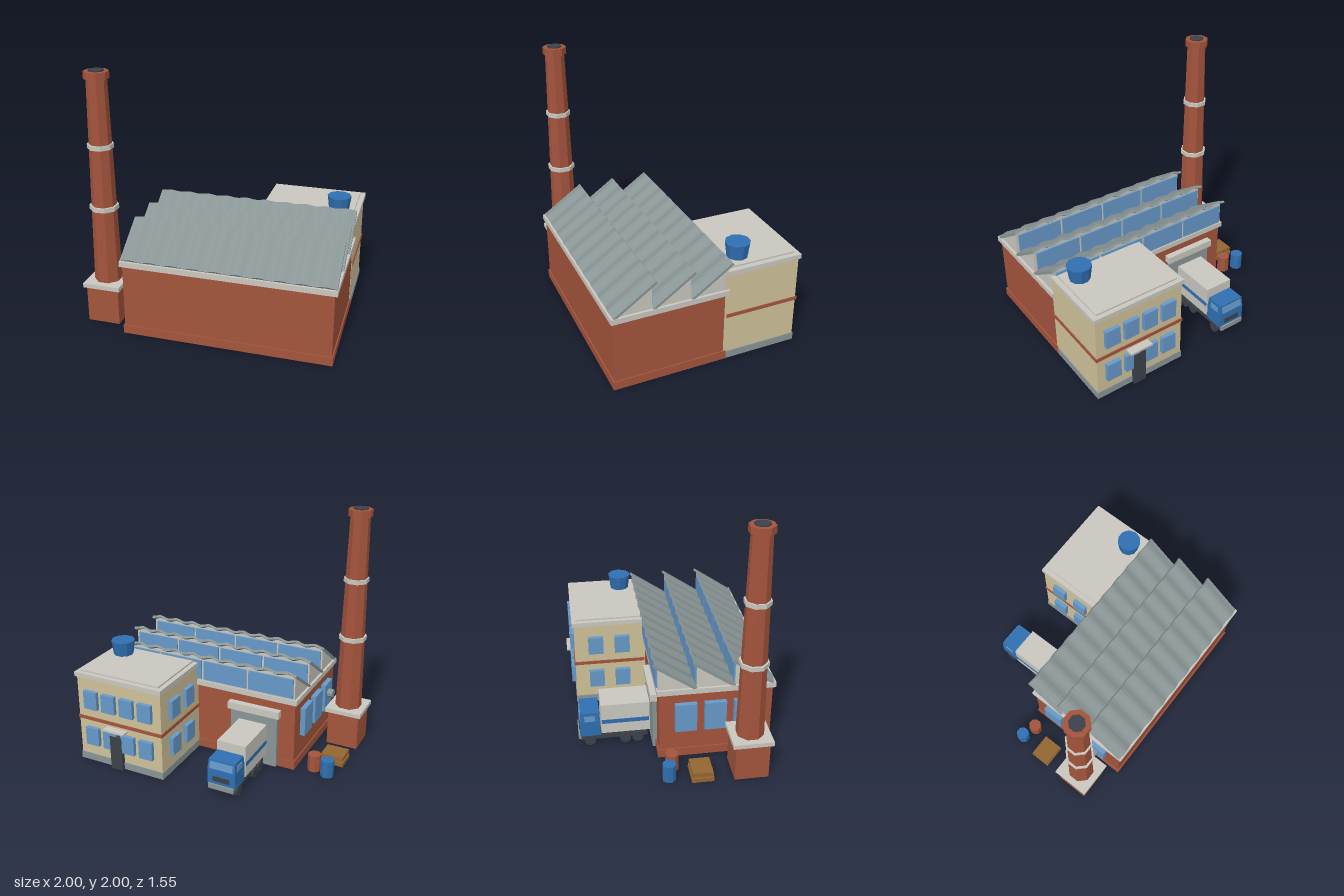
import * as THREE from 'three';

const mat = (name, color) => {
  const m = new THREE.MeshStandardMaterial({ color });
  m.name = name;
  return m;
};

export function createModel() {
  const root = new THREE.Group();
  root.name = 'factory';
  const brick = mat('brick red', 0xa3543c);
  const stone = mat('pale stone', 0xc9c7bf);
  const cream = mat('cream render', 0xcfc199);
  const metal = mat('sheet metal grey', 0x8a9596);
  const blue = mat('paint blue', 0x2f6fb0);
  const glass = mat('window glass', 0x6699c8);
  const dark = mat('dark grey', 0x3c424a);
  const wood = mat('wood brown', 0x946632);

  const group = (name) => {
    const g = new THREE.Group();
    g.name = name;
    root.add(g);
    return g;
  };
  const add = (parent, name, geo, m, x = 0, y = 0, z = 0) => {
    const mesh = new THREE.Mesh(geo, m);
    mesh.name = name;
    mesh.position.set(x, y, z);
    parent.add(mesh);
    return mesh;
  };
  // Box given by its minimum and maximum on each axis
  const box = (parent, name, m, x0, x1, y0, y1, z0, z1) =>
    add(parent, name, new THREE.BoxGeometry(x1 - x0, y1 - y0, z1 - z0), m,
      (x0 + x1) / 2, (y0 + y1) / 2, (z0 + z1) / 2);
  // Upright faceted drum, flat side to the front
  const drum = (parent, name, m, x, z, y0, y1, rBottom, rTop, sides) => {
    const geo = new THREE.CylinderGeometry(rTop, rBottom, y1 - y0, sides, 1, false, Math.PI / sides);
    return add(parent, name, geo.toNonIndexed(), m, x, (y0 + y1) / 2, z);
  };
  const faceted = (mesh) => { mesh.geometry.computeVertexNormals(); return mesh; };

  // Main hall walls
  const hall = group('hall');
  box(hall, 'hallPlinth', brick, -0.637, 0.985, 0, 0.07, -0.13, 0.765);
  box(hall, 'hallWalls', brick, -0.627, 0.975, 0.07, 0.575, -0.12, 0.755);
  box(hall, 'hallEaves', stone, -0.645, 0.995, 0.572, 0.615, -0.14, 0.775);
  for (const z of [0.0825, 0.31, 0.5375])
    box(hall, 'hallSideWindow', glass, -0.668, -0.62, 0.25, 0.49, z - 0.084, z + 0.084);

  // Sawtooth roof: gable wedge, corrugated sheet and rear glazing
  const wedge = new THREE.Shape([[-0.76, 0.612], [-0.46, 0.612], [-0.46, 0.825]]
    .map(([x, y]) => new THREE.Vector2(x, y)));
  const wedgeGeo = new THREE.ExtrudeGeometry(wedge, { depth: 1.6, bevelEnabled: false });
  wedgeGeo.rotateY(Math.PI / 2);
  const top = [], under = [];
  const waves = 10, steps = waves * 6;
  for (let i = 0; i <= steps; i++) {
    const x = -0.642 + 1.632 * i / steps;
    const y = -0.009 * Math.cos(2 * Math.PI * waves * i / steps);
    top.push(new THREE.Vector2(x, y));
    under.unshift(new THREE.Vector2(x, y - 0.02));
  }
  const sheetGeo = new THREE.ExtrudeGeometry(new THREE.Shape([...top, ...under]),
    { depth: 0.388, bevelEnabled: false });
  const roof = group('sawtoothRoof');
  for (let i = 0; i < 3; i++) {
    const tooth = new THREE.Group();
    tooth.name = 'roofTooth';
    tooth.position.z = -0.296 * i;
    roof.add(tooth);
    add(tooth, 'toothGable', wedgeGeo, stone, -0.625, 0, 0);
    const sheet = add(tooth, 'corrugatedSheet', sheetGeo, metal, 0, 0.847, 0.444);
    sheet.rotation.x = Math.atan2(0.218, 0.316);
    for (let k = 0; k < 4; k++) {
      const x = -0.612 + 0.396 * k;
      box(tooth, 'skylight', glass, x, x + 0.376, 0.632, 0.792, 0.447, 0.465);
    }
  }

  // Loading bay
  const bay = group('loadingBay');
  box(bay, 'bayFrame', metal, -0.49, -0.09, 0, 0.44, -0.152, -0.11);
  box(bay, 'bayLintel', stone, -0.51, -0.07, 0.44, 0.5, -0.173, -0.11);

  // Office block
  const office = group('office');
  box(office, 'officeWalls', cream, 0.222, 0.978, 0, 0.74, -0.712, -0.11);
  box(office, 'officePlinth', metal, 0.216, 0.984, 0.001, 0.06, -0.718, -0.13);
  box(office, 'officeBand', brick, 0.214, 0.986, 0.37, 0.397, -0.72, -0.125);
  box(office, 'officeCornice', stone, 0.21, 0.992, 0.735, 0.772, -0.727, -0.122);
  box(office, 'officeRoofSlab', stone, 0.25, 0.952, 0.77, 0.785, -0.69, -0.157);
  for (const y of [0.16, 0.48]) {
    for (const x of [0.355, 0.52, 0.685, 0.848])
      box(office, 'officeRearWindow', glass, x - 0.06, x + 0.06, y, y + 0.152, -0.745, -0.7);
    for (const z of [-0.535, -0.315])
      box(office, 'officeSideWindow', glass, 0.187, 0.23, y, y + 0.152, z - 0.062, z + 0.062);
  }
  box(office, 'officeDoor', dark, 0.572, 0.678, 0, 0.29, -0.748, -0.7);
  box(office, 'doorCanopy', stone, 0.53, 0.722, 0.334, 0.35, -0.775, -0.7);
  faceted(drum(office, 'waterTank', blue, 0.83, -0.275, 0.785, 0.905, 0.08, 0.096, 10));

  // Chimney
  const chimney = group('chimney');
  const cx = -0.85, cz = 0.53;
  box(chimney, 'chimneyBase', brick, cx - 0.13, cx + 0.13, 0, 0.297, cz - 0.13, cz + 0.13);
  box(chimney, 'chimneyBaseSlab', stone, cx - 0.15, cx + 0.15, 0.297, 0.332, cz - 0.153, cz + 0.153);
  const stack = [
    ['chimneyShaft', brick, 0.33, 1.95, 0.108, 0.077],
    ['lowerCollar', stone, 0.925, 0.96, 0.112, 0.112],
    ['upperCollar', stone, 1.412, 1.447, 0.1, 0.1],
    ['chimneyCrown', brick, 1.935, 1.99, 0.095, 0.095],
    ['flueMouth', dark, 1.97, 2.0, 0.058, 0.058],
  ];
  for (const [name, m, y0, y1, r0, r1] of stack)
    faceted(drum(chimney, name, m, cx, cz, y0, y1, r0, r1, 8));
  const duct = faceted(drum(chimney, 'wallDuct', metal, 0, 0, 0, 0.1, 0.036, 0.036, 8));
  duct.rotation.z = Math.PI / 2;
  duct.position.set(-0.665, 0.398, cz);

  // Delivery truck, nose to the rear
  const truck = group('truck');
  const tx = -0.29;
  box(truck, 'chassis', dark, tx - 0.1, tx + 0.1, 0.045, 0.11, -0.715, -0.18);
  box(truck, 'cargoBox', stone, tx - 0.12, tx + 0.12, 0.11, 0.37, -0.55, -0.165);
  box(truck, 'cab', blue, tx - 0.115, tx + 0.115, 0.09, 0.22, -0.718, -0.556);
  // Upper cab leans in slightly towards its roof
  const cabTop = new THREE.BoxGeometry(0.23, 0.08, 0.162);
  const p = cabTop.attributes.position;
  for (let i = 0; i < p.count; i++)
    if (p.getY(i) > 0) p.setXYZ(i, p.getX(i) * 0.94, p.getY(i), p.getZ(i) < 0 ? -0.07 : 0.075);
  cabTop.computeVertexNormals();
  add(truck, 'cabTop', cabTop, blue, tx, 0.26, -0.637);
  const screen = box(truck, 'windscreen', glass, tx - 0.095, tx + 0.095, 0.228, 0.285, -0.718, -0.712);
  screen.rotation.x = 0.13;
  box(truck, 'grille', dark, tx - 0.07, tx + 0.07, 0.125, 0.165, -0.723, -0.716);
  box(truck, 'bumper', metal, tx - 0.105, tx + 0.105, 0.06, 0.1, -0.731, -0.71);
  for (const s of [-1, 1]) {
    const stripeX = tx + s * 0.12;
    box(truck, 'cargoStripe', blue, stripeX - 0.003, stripeX + 0.003, 0.2, 0.235, -0.545, -0.17);
    const doorX = tx + s * 0.113;
    box(truck, 'cabSideWindow', glass, doorX - 0.003, doorX + 0.003, 0.225, 0.272, -0.68, -0.595);
    for (const z of [-0.64, -0.36, -0.26]) {
      const wheel = faceted(drum(truck, 'wheel', dark, 0, 0, 0, 0.035, 0.045, 0.045, 10));
      wheel.rotation.z = Math.PI / 2;
      wheel.position.set(tx + s * 0.098, 0.044, z);
    }
  }

  // Yard goods
  const yard = group('yardGoods');
  faceted(drum(yard, 'blueBarrel', blue, -0.897, -0.083, 0, 0.14, 0.053, 0.053, 8));
  faceted(drum(yard, 'redBarrel', brick, -0.776, -0.045, 0, 0.14, 0.053, 0.053, 8));
  box(yard, 'lowerPallet', wood, -0.972, -0.78, 0, 0.035, 0.078, 0.246);
  box(yard, 'palletGap', wood, -0.955, -0.797, 0.035, 0.045, 0.095, 0.229);
  box(yard, 'upperPallet', wood, -0.967, -0.785, 0.045, 0.08, 0.083, 0.241);

  return root;
}
